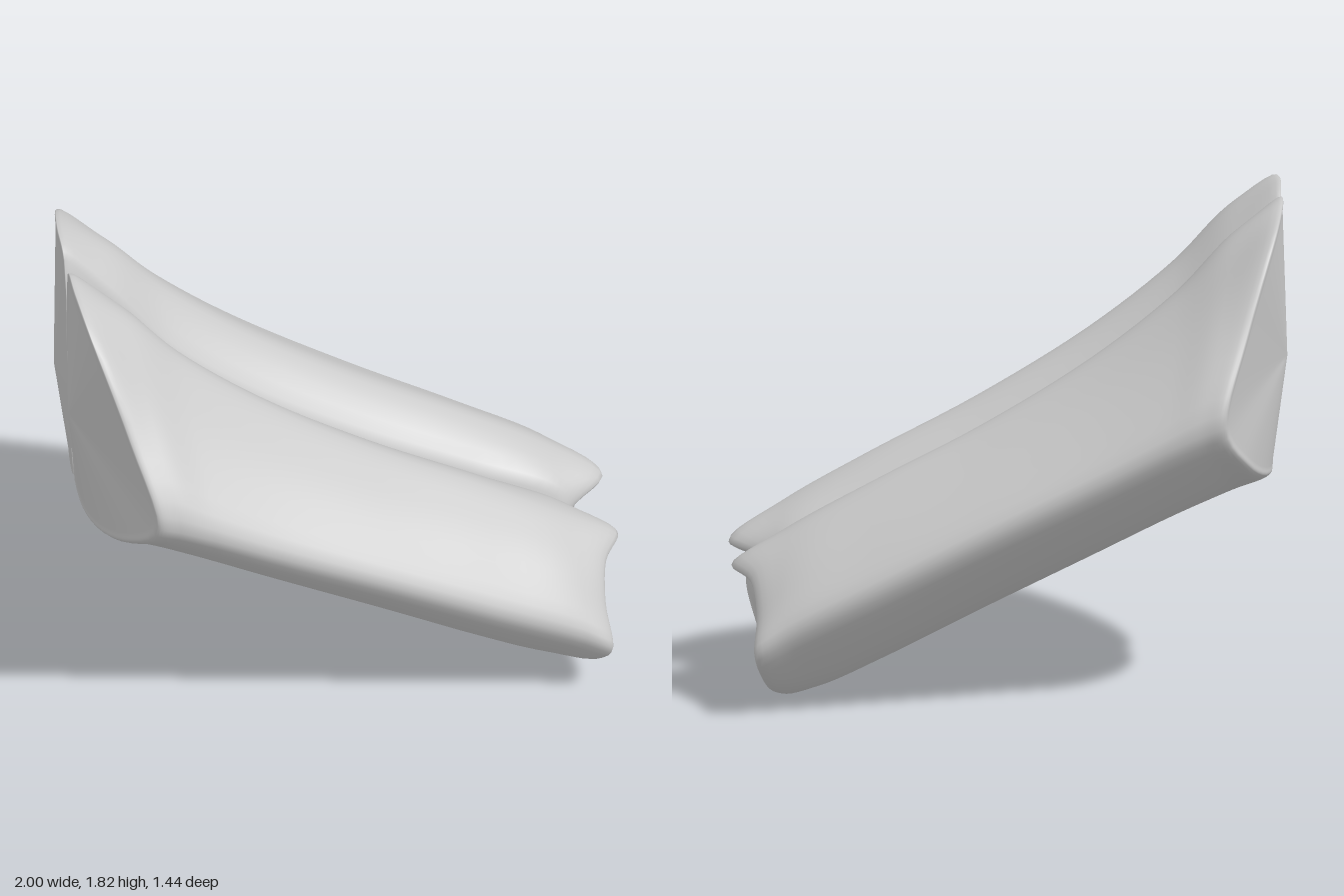
import * as THREE from 'three';
import { mergeVertices } from 'three/addons/utils/BufferGeometryUtils.js';

const V = (x, y, z) => new THREE.Vector3(x, y, z);
const mix = THREE.MathUtils.lerp;

// Cross-section loop, from the bottom round the outer ridge to the crest and the inner wall
function section(crest, ridge, bottom, drop) {
  const [gx, gy] = crest, [dx, dy, dz] = ridge, [ax, ay] = bottom;
  const gz = 0.2;
  const up = (t, s) => V(mix(gx, dx, t), mix(gy, dy, t), mix(gz, dz, s));
  const low = (t, s) => V(mix(dx, ax, t), mix(dy, ay, t), mix(dz, 0.03, s));
  return [
    V(ax, ay + 0.01, 0.02), low(0.94, 0.65), low(0.55, 0.27), V(dx, dy, dz),
    up(0.5, 0.72), up(0.16, 0.36), V(gx, gy, gz), V(gx, gy - drop, 0.025),
  ];
}

// A loop drawn in towards a centre, used to round and close the ends
const shrink = (ring, c, k) => ring.map(p => p.clone().lerp(c, k));

function buildRings() {
  const backEnd = [
    V(-0.95, 0.84, 0.02), V(-0.93, 0.83, 0.25), V(-0.85, 0.93, 0.52), V(-0.76, 1.12, 0.715),
    V(-0.84, 1.42, 0.59), V(-0.95, 1.75, 0.4), V(-0.98, 1.82, 0.2), V(-0.98, 1.79, 0.04),
  ];
  const lip = [
    V(0.79, 0.01, 0.03), V(0.83, 0.03, 0.22), V(0.88, 0.11, 0.4), V(0.92, 0.25, 0.53),
    V(0.91, 0.37, 0.43), V(0.93, 0.47, 0.31), V(0.995, 0.49, 0.17), V(0.85, 0.44, 0.04),
  ];
  // Hollow end face tucked in under the lip
  const face = [
    V(0.82, 0.04, 0.04), V(0.84, 0.06, 0.21), V(0.88, 0.14, 0.37), V(0.915, 0.25, 0.48),
    V(0.9, 0.35, 0.39), V(0.89, 0.42, 0.28), V(0.91, 0.44, 0.17), V(0.84, 0.41, 0.06),
  ];
  const backCentre = V(-1, 1.25, 0.16), frontCentre = V(0.885, 0.26, 0.22);
  return [
    shrink(backEnd, backCentre, 1), shrink(backEnd, backCentre, 0.5),
    shrink(backEnd, backCentre, 0.07), backEnd,
    section([-0.8, 1.71], [-0.68, 1.09, 0.715], [-0.8, 0.76], 0.12),
    section([-0.6, 1.5], [-0.55, 1.03, 0.705], [-0.6, 0.67], 0.17),
    section([-0.3, 1.26], [-0.3, 0.9, 0.68], [-0.3, 0.52], 0.17),
    section([0.1, 1.01], [0.1, 0.7, 0.64], [0.1, 0.32], 0.15),
    section([0.5, 0.8], [0.5, 0.49, 0.595], [0.45, 0.14], 0.13),
    section([0.8, 0.63], [0.8, 0.33, 0.555], [0.68, 0.035], 0.1),
    lip, face, shrink(face, frontCentre, 0.5), shrink(face, frontCentre, 1),
  ];
}

// Smooth skin over the loops; side is 1 or -1 for the mirrored half
function loft(rings, side) {
  const around = 40, along = (rings.length - 1) * 6;
  const loops = rings.map(r => {
    const curve = new THREE.CatmullRomCurve3(r, true);
    return Array.from({ length: around }, (_, j) => curve.getPoint(j / around));
  });
  const pos = [], index = [];
  const lanes = Array.from({ length: around }, (_, j) =>
    new THREE.CatmullRomCurve3(loops.map(l => l[j])));
  for (let i = 0; i <= along; i++) {
    for (let j = 0; j < around; j++) {
      const p = lanes[j].getPoint(i / along);
      pos.push(THREE.MathUtils.clamp(p.x, -1, 1), Math.max(p.y, 0), side * Math.max(p.z, 0.008));
    }
  }
  for (let i = 0; i < along; i++) {
    for (let j = 0; j < around; j++) {
      const a = i * around + j, b = i * around + (j + 1) % around;
      const c = a + around, d = b + around;
      if (side > 0) index.push(a, c, b, b, c, d);
      else index.push(a, b, c, b, d, c);
    }
  }
  let geo = new THREE.BufferGeometry();
  geo.setAttribute('position', new THREE.Float32BufferAttribute(pos, 3));
  geo.setIndex(index);
  geo = mergeVertices(geo, 1e-5);
  geo.computeVertexNormals();
  return geo;
}

export function createModel() {
  const group = new THREE.Group();
  const material = new THREE.MeshStandardMaterial({ color: 0xcccccc });
  const rings = buildRings();
  // Two mirrored halves with a thin gap between them
  for (const [name, side] of [['frontHalf', 1], ['backHalf', -1]]) {
    const mesh = new THREE.Mesh(loft(rings, side), material);
    mesh.name = name;
    group.add(mesh);
  }
  return group;
}
